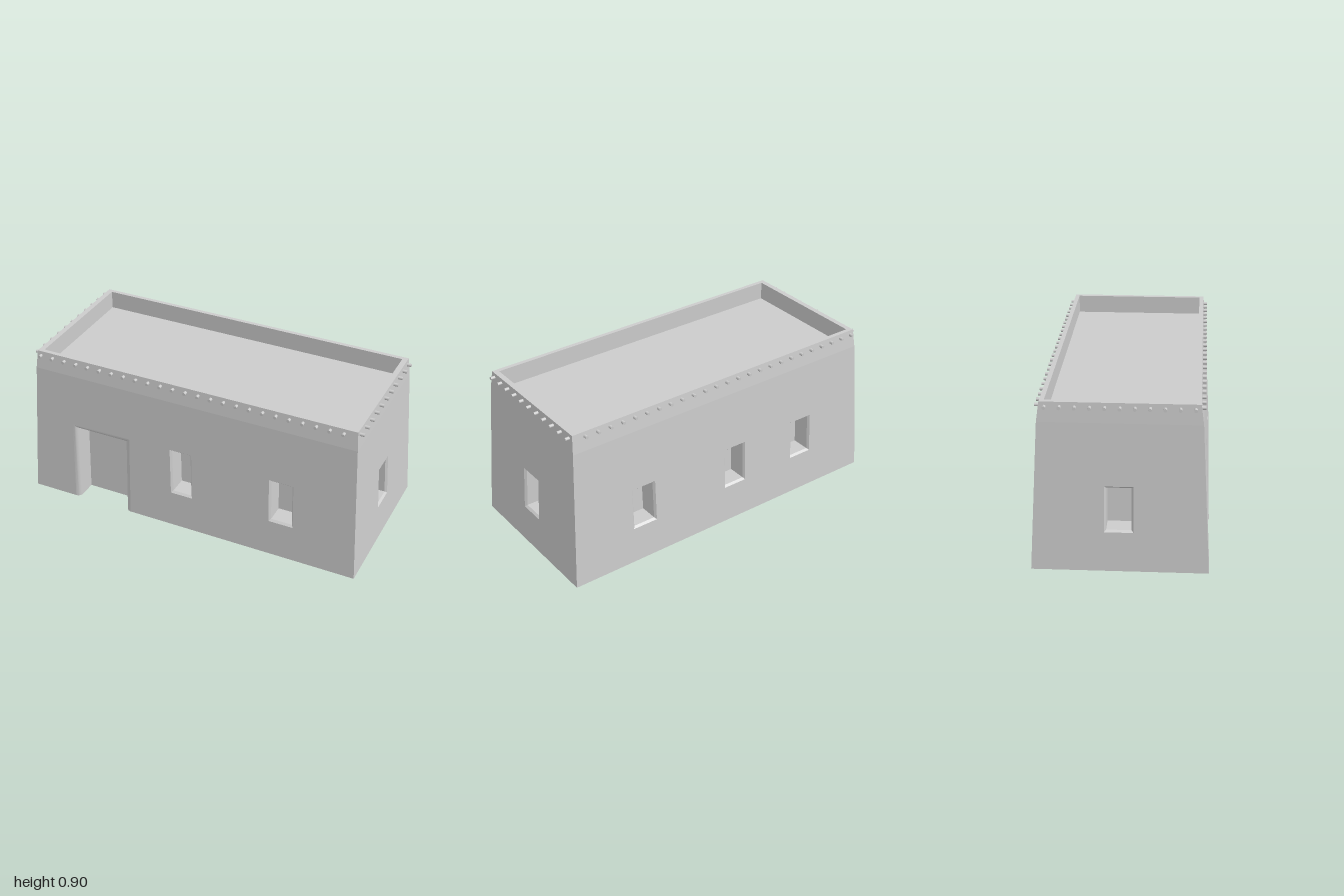
import * as THREE from 'three';
import { toCreasedNormals } from 'three/addons/utils/BufferGeometryUtils.js';

const material = new THREE.MeshStandardMaterial({ color: 0xcccccc, side: THREE.DoubleSide });

// Wall half sizes at the ground, at the batter change and at the top
const BASE = { y: 0, x: 1, z: 0.457 };
const KINK = { y: 0.8, x: 0.957, z: 0.416 };
const TOP = { y: 0.905, x: 0.948, z: 0.402 };
const ROOF_Y = 0.8;

function addMesh(parent, geometry, name) {
  const mesh = new THREE.Mesh(geometry, material);
  mesh.name = name;
  parent.add(mesh);
  return mesh;
}

// Skin between rings of four points, ending in a flat cap
function loft(rings, closed = true) {
  const pos = [];
  const tri = (...pts) => pts.forEach((p) => pos.push(...p));
  for (let k = 0; k + 1 < rings.length; k++) {
    const a = rings[k], b = rings[k + 1];
    for (let i = 0; i < (closed ? 4 : 3); i++) {
      const j = (i + 1) % 4;
      tri(a[i], b[i], a[j]);
      tri(b[i], b[j], a[j]);
    }
  }
  const c = rings[rings.length - 1];
  tri(c[0], c[3], c[2]);
  tri(c[0], c[2], c[1]);
  const geometry = new THREE.BufferGeometry();
  geometry.setAttribute('position', new THREE.Float32BufferAttribute(pos, 3));
  return toCreasedNormals(geometry, 0.5);
}

// Corners of an opening, shrunk by inset: bottom left, top left, top right, bottom right
function corners({ l, r, b, t, lean = 0, door }, inset = 0) {
  const bottom = door ? 0 : b + inset;
  return [
    [l + inset, bottom], [l + inset + lean, t - inset],
    [r - inset + lean, t - inset], [r - inset, bottom],
  ];
}

// One battered wall in its own frame (facing +z), with recessed openings
function makeWall(name, along, out, angle, openings) {
  const wall = new THREE.Group();
  wall.name = name;
  wall.rotation.y = angle;
  const depth = (y) => BASE[out] + (KINK[out] - BASE[out]) * (y / KINK.y);

  const outline = [[-BASE[along], 0]];
  const holes = [];
  for (const o of openings) {
    if (o.door) outline.push(...corners(o));
    else holes.push(corners(o));
  }
  outline.push([BASE[along], 0], [KINK[along], KINK.y], [-KINK[along], KINK.y]);
  const toVectors = (pts) => pts.map((p) => new THREE.Vector2(...p));
  const shape = new THREE.Shape(toVectors(outline));
  holes.forEach((h) => shape.holes.push(new THREE.Path(toVectors(h))));
  const face = new THREE.ShapeGeometry(shape);
  const p = face.attributes.position;
  for (let i = 0; i < p.count; i++) p.setZ(i, depth(p.getY(i)));
  face.computeVertexNormals();
  addMesh(wall, face, 'wallFace');

  for (const o of openings) {
    const ring = (inset, back) => corners(o, inset).map(([u, y]) => [u, y, depth(y) - back]);
    const rings = [];
    if (o.door) {
      // Rounded plaster edge
      const radius = 0.03, steps = 6;
      for (let i = 0; i <= steps; i++) {
        const a = (i / steps) * Math.PI / 2;
        rings.push(ring(radius * Math.sin(a), radius * (1 - Math.cos(a))));
      }
      rings.push(ring(radius, 0.125));
    } else {
      // Narrow chamfer, then a straight reveal
      rings.push(ring(0, 0), ring(0.01, 0.012), ring(0.01, 0.115));
    }
    addMesh(wall, loft(rings, !o.door), o.door ? 'doorway' : 'windowRecess');
  }
  return wall;
}

export function createModel() {
  const model = new THREE.Group();
  model.name = 'flatRoofedHouse';

  // Walls; l and r run from left to right as seen from outside
  model.add(
    makeWall('frontWall', 'x', 'z', 0, [
      { l: -0.735, r: -0.37, t: 0.49, door: true },
      { l: -0.108, r: 0.025, b: 0.215, t: 0.497, lean: -0.009 },
      { l: 0.49, r: 0.632, b: 0.215, t: 0.48, lean: -0.01 },
    ]),
    makeWall('backWall', 'x', 'z', Math.PI, [
      { l: -0.62, r: -0.47, b: 0.21, t: 0.455 },
      { l: 0, r: 0.145, b: 0.22, t: 0.465 },
      { l: 0.48, r: 0.625, b: 0.23, t: 0.465 },
    ]),
    makeWall('leftWall', 'z', 'x', Math.PI / 2, [{ l: -0.075, r: 0.075, b: 0.215, t: 0.465 }]),
    makeWall('rightWall', 'z', 'x', -Math.PI / 2, [{ l: -0.08, r: 0.07, b: 0.215, t: 0.465 }]),
  );

  // Upper wall band, parapet rim, inner parapet and sunken roof
  const rect = (x, y, z) => [[x, y, z], [-x, y, z], [-x, y, -z], [x, y, -z]];
  addMesh(model, loft([
    rect(KINK.x, KINK.y, KINK.z),
    rect(TOP.x, TOP.y, TOP.z),
    rect(0.918, TOP.y, 0.378),
    rect(0.918, ROOF_Y, 0.378),
  ]), 'parapetAndRoof');

  // Round beam ends poking out under the parapet
  const beams = new THREE.Group();
  beams.name = 'roofBeamEnds';
  model.add(beams);
  const beamGeometry = new THREE.CylinderGeometry(0.009, 0.009, 0.04, 12).rotateX(Math.PI / 2);
  for (const side of [1, -1]) {
    for (let i = 0; i < 25; i++) {
      addMesh(beams, beamGeometry, 'beamEnd').position.set(-0.925 + i * 0.075, 0.88, side * 0.406);
    }
    for (let i = 0; i < 11; i++) {
      const beam = addMesh(beams, beamGeometry, 'beamEnd');
      beam.position.set(side * 0.955, 0.88, -0.375 + i * 0.075);
      beam.rotation.y = Math.PI / 2;
    }
  }
  return model;
}
